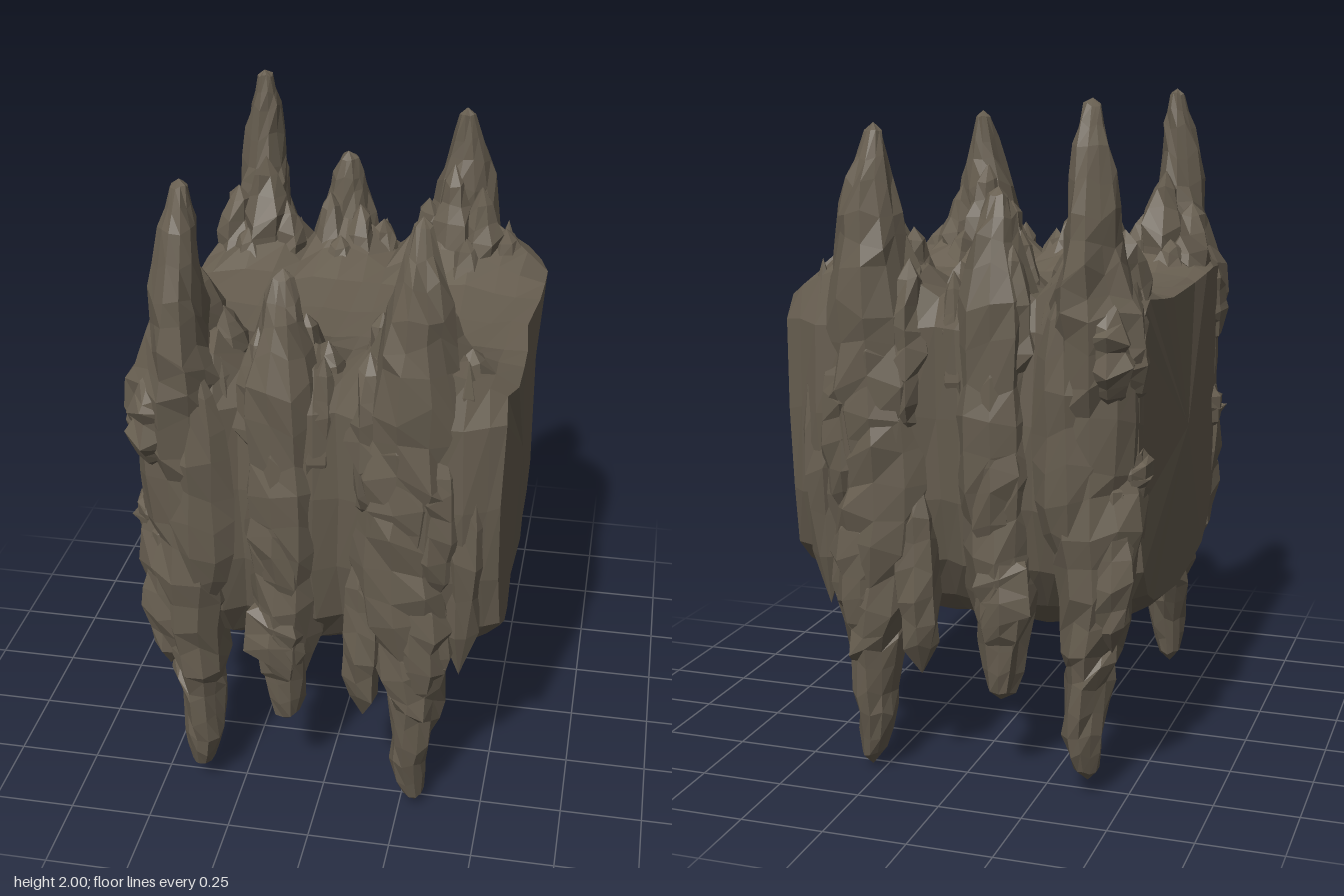
import * as THREE from 'three';

// Small seeded generator, returns -1..1
function seeded(seed) {
  let s = seed * 7919 + 17;
  return () => {
    s = (s * 16807) % 2147483647;
    return (s / 2147483647) * 2 - 1;
  };
}

// Skin a series of closed rings and close both ends on a tip point
function skin(rings, startTip, endTip) {
  const pos = [];
  const tri = (...pts) => pts.forEach(p => pos.push(...p));
  const n = rings[0].length;
  const last = rings[rings.length - 1];
  for (let j = 0; j < n; j++) {
    const k = (j + 1) % n;
    tri(startTip, rings[0][k], rings[0][j]);
    tri(endTip, last[j], last[k]);
    for (let i = 0; i < rings.length - 1; i++) {
      const a = rings[i], b = rings[i + 1];
      tri(a[j], a[k], b[j]);
      tri(a[k], b[k], b[j]);
    }
  }
  const g = new THREE.BufferGeometry();
  g.setAttribute('position', new THREE.Float32BufferAttribute(pos, 3));
  g.computeVertexNormals();
  return g;
}

// Flip a geometry from front to back, keeping its faces outward
function mirrorZ(geometry) {
  const g = geometry.clone();
  const p = g.attributes.position;
  for (let i = 0; i < p.count; i += 3) {
    const v = [0, 2, 1].map(k => new THREE.Vector3().fromBufferAttribute(geometry.attributes.position, i + k));
    v.forEach((q, k) => p.setXYZ(i + k, q.x, q.y, -q.z));
  }
  g.computeVertexNormals();
  return g;
}

// Rough rock spike; rows run from top to bottom as [y, x, z, radiusX, radiusZ]
function rockSpike(rows, seed, rough = 0.2, sides = 11) {
  const rnd = seeded(seed);
  const rings = [];
  const fine = [];
  for (let i = 1; i < rows.length - 1; i++) {
    fine.push(rows[i]);
    if (i < rows.length - 2) fine.push(rows[i].map((v, k) => (v + rows[i + 1][k]) / 2));
  }
  const ridge = Array.from({ length: sides }, () => rnd() * rough * 0.4);
  for (const [y, x, z, rx, rz] of fine) {
    rings.push(ridge.map((r, j) => {
      const a = (j / sides) * Math.PI * 2;
      const f = 1 + r + rnd() * rough * 0.7;
      return [x + Math.cos(a) * rx * f, y + rnd() * Math.min(0.03, rx * 0.3), z + Math.sin(a) * rz * f];
    }));
  }
  const tip = r => [r[1], r[0], r[2]];
  return skin(rings, tip(rows[0]), tip(rows[rows.length - 1]));
}

// Shard pointed at both ends: top and bottom height, centre, radii, lean of the top
const shard = (top, bottom, x, z, rx, rz, seed, leanX = 0, leanZ = 0) => {
  const h = top - bottom;
  const row = (t, f) => [bottom + h * t, x + leanX * t, z + leanZ * t, rx * f, rz * f];
  return rockSpike([row(1, 0), row(0.9, 0.45), row(0.65, 0.9), row(0.4, 1), row(0.15, 0.65), row(0, 0)], seed, 0.3, 7);
};

export function createModel() {
  const model = new THREE.Group();
  const stone = new THREE.MeshStandardMaterial({ color: 0x675e50, flatShading: true });
  stone.name = 'brown grey stone';
  const add = (name, g) => {
    const m = new THREE.Mesh(g, stone);
    m.name = name;
    model.add(m);
  };
  const addPair = (name, g) => {
    add(name + 'Front', g);
    add(name + 'Back', mirrorZ(g));
  };

  // Core block: half profile (z, y) mirrored and carried along x
  const half = [[0, 1.42], [0.2, 1.43], [0.33, 1.475], [0.45, 1.54], [0.54, 1.5], [0.585, 1.36], [0.585, 1.1],
    [0.57, 0.85], [0.53, 0.66], [0.45, 0.53], [0.34, 0.45], [0.22, 0.405], [0, 0.375]];
  const profile = [...half, ...half.slice(1, -1).reverse().map(([z, y]) => [-z, y])];
  const rnd = seeded(5);
  // Sections: [x, depth scale, lift of the underside, height of the rim]
  const sections = [[-0.525, 0.92, 0.12, 0.2], [-0.48, 0.98, 0.09, 0.6], [-0.38, 1.04, 0.03, 1.5], [-0.29, 1.03, 0.01, 1.1],
    [-0.225, 0.97, 0, 0.35], [-0.16, 1.01, 0, 1], [-0.09, 1.03, 0, 1.2], [-0.01, 1.01, 0, 0.8], [0.06, 0.96, 0.01, 0.3],
    [0.13, 1.0, 0.01, 0.8], [0.22, 1.05, 0.03, 1.5], [0.32, 1.05, 0.05, 1.4], [0.42, 1.02, 0.07, 0.8],
    [0.485, 0.97, 0.11, 0.4], [0.53, 0.93, 0.15, 0]];
  const rings = sections.map(([x, s, lift, rim]) => profile.map(([z, y]) => {
    let yy = y + rnd() * 0.007;
    if (y < 0.7) yy += lift * (0.7 - y) / 0.33;
    if (y > 1.42) yy += (y - 1.42) * (rim - 1);
    const bulge = x > 0.5 && y > 1.3 && Math.abs(z) > 0.1 && Math.abs(z) < 0.5 ? 0.025 : 0;
    return [x + bulge + rnd() * 0.008, yy, z * s + rnd() * 0.008];
  }));
  add('coreBlock', skin(rings, [-0.545, 1.0, 0], [0.54, 1.0, 0]));

  // Three tall spiked columns on each face
  addPair('tallColumn', rockSpike([
    [2.0, -0.375, 0.51], [1.98, -0.375, 0.512, 0.025, 0.025], [1.88, -0.378, 0.53, 0.05, 0.06],
    [1.7, -0.385, 0.545, 0.07, 0.1],
    [1.55, -0.39, 0.545, 0.1, 0.125], [1.42, -0.395, 0.54, 0.14, 0.135], [1.25, -0.395, 0.53, 0.145, 0.135],
    [1.0, -0.39, 0.52, 0.14, 0.125], [0.8, -0.395, 0.515, 0.135, 0.125], [0.6, -0.405, 0.505, 0.11, 0.12],
    [0.45, -0.385, 0.485, 0.085, 0.13], [0.34, -0.378, 0.51, 0.07, 0.1], [0.2, -0.368, 0.53, 0.06, 0.08],
    [0.08, -0.378, 0.53, 0.035, 0.05], [0.04, -0.382, 0.525]], 3));
  addPair('middleColumn', rockSpike([
    [1.755, -0.1, 0.49], [1.73, -0.1, 0.495, 0.03, 0.03], [1.62, -0.1, 0.515, 0.065, 0.075],
    [1.45, -0.105, 0.52, 0.105, 0.105], [1.2, -0.1, 0.52, 0.12, 0.11], [1.0, -0.1, 0.515, 0.125, 0.105],
    [0.8, -0.105, 0.51, 0.12, 0.1], [0.6, -0.11, 0.5, 0.1, 0.1], [0.42, -0.115, 0.5, 0.07, 0.08],
    [0.28, -0.11, 0.51, 0.04, 0.045], [0.25, -0.11, 0.51]], 11));
  addPair('rightColumn', rockSpike([
    [1.925, 0.28, 0.475], [1.9, 0.28, 0.48, 0.025, 0.025], [1.76, 0.282, 0.51, 0.065, 0.075],
    [1.6, 0.275, 0.525, 0.105, 0.11], [1.42, 0.27, 0.525, 0.155, 0.12], [1.2, 0.265, 0.525, 0.165, 0.125],
    [1.0, 0.255, 0.52, 0.165, 0.12], [0.8, 0.255, 0.515, 0.165, 0.125], [0.6, 0.275, 0.505, 0.14, 0.12],
    [0.45, 0.295, 0.485, 0.09, 0.13], [0.33, 0.285, 0.51, 0.075, 0.1], [0.18, 0.275, 0.53, 0.06, 0.08],
    [0.05, 0.29, 0.525, 0.035, 0.045], [0.0, 0.295, 0.525]], 23));

  // Overlapping slabs and chips on the faces: top, bottom, x, z, radii, seed, lean
  const slabs = [
    [1.5, 0.67, -0.34, 0.59, 0.09, 0.07, 31, 0.02, 0.02], [1.48, 1.15, -0.45, 0.585, 0.08, 0.09, 32, 0, 0.03],
    [1.45, 1.16, -0.5, 0.52, 0.05, 0.08, 33], [1.05, 0.88, -0.5, 0.5, 0.055, 0.08, 34],
    [0.98, 0.45, -0.46, 0.56, 0.065, 0.08, 35], [1.4, 0.7, -0.1, 0.575, 0.09, 0.06, 36],
    [0.8, 0.4, -0.12, 0.55, 0.095, 0.07, 37], [1.6, 1.12, -0.16, 0.545, 0.065, 0.08, 38],
    [1.52, 0.82, 0.25, 0.59, 0.09, 0.06, 39, 0.02], [1.35, 0.78, 0.35, 0.565, 0.085, 0.08, 40],
    [0.95, 0.31, 0.13, 0.53, 0.07, 0.085, 41, 0.01, 0.02], [0.92, 0.4, 0.3, 0.57, 0.09, 0.07, 42],
    [1.54, 0.5, 0.42, 0.53, 0.07, 0.075, 43], [1.55, 1.0, 0.15, 0.54, 0.075, 0.09, 44],
    [1.52, 1.0, -0.02, 0.53, 0.06, 0.07, 45, 0.04], [1.5, 0.95, -0.27, 0.54, 0.05, 0.06, 46],
  ];
  slabs.forEach(s => addPair('faceSlab', shard(...s)));

  // Crags climbing the inner slopes behind the spikes: top, x, z, seed, radius
  const crags = [
    [1.74, -0.36, 0.42, 31, 0.08], [1.64, -0.45, 0.41, 52, 0.08], [1.6, -0.29, 0.4, 53, 0.07],
    [1.63, -0.15, 0.42, 54, 0.065], [1.6, -0.05, 0.41, 55, 0.065], [1.54, 0.02, 0.45, 56, 0.06],
    [1.63, 0.17, 0.43, 57, 0.065], [1.75, 0.25, 0.42, 58, 0.075], [1.68, 0.34, 0.42, 59, 0.08],
    [1.54, 0.42, 0.43, 60, 0.08], [1.54, 0.3, 0.33, 61, 0.08], [1.53, -0.4, 0.32, 62, 0.08],
    [1.52, -0.1, 0.33, 63, 0.07], [1.53, -0.47, 0.46, 64, 0.06], [1.53, 0.18, 0.33, 65, 0.07],
  ];
  crags.forEach(([top, x, z, seed, r]) => addPair('innerCrag', shard(top, 1.22, x, z - 0.03, r, r * 1.3, seed, 0, 0.05)));

  return model;
}
